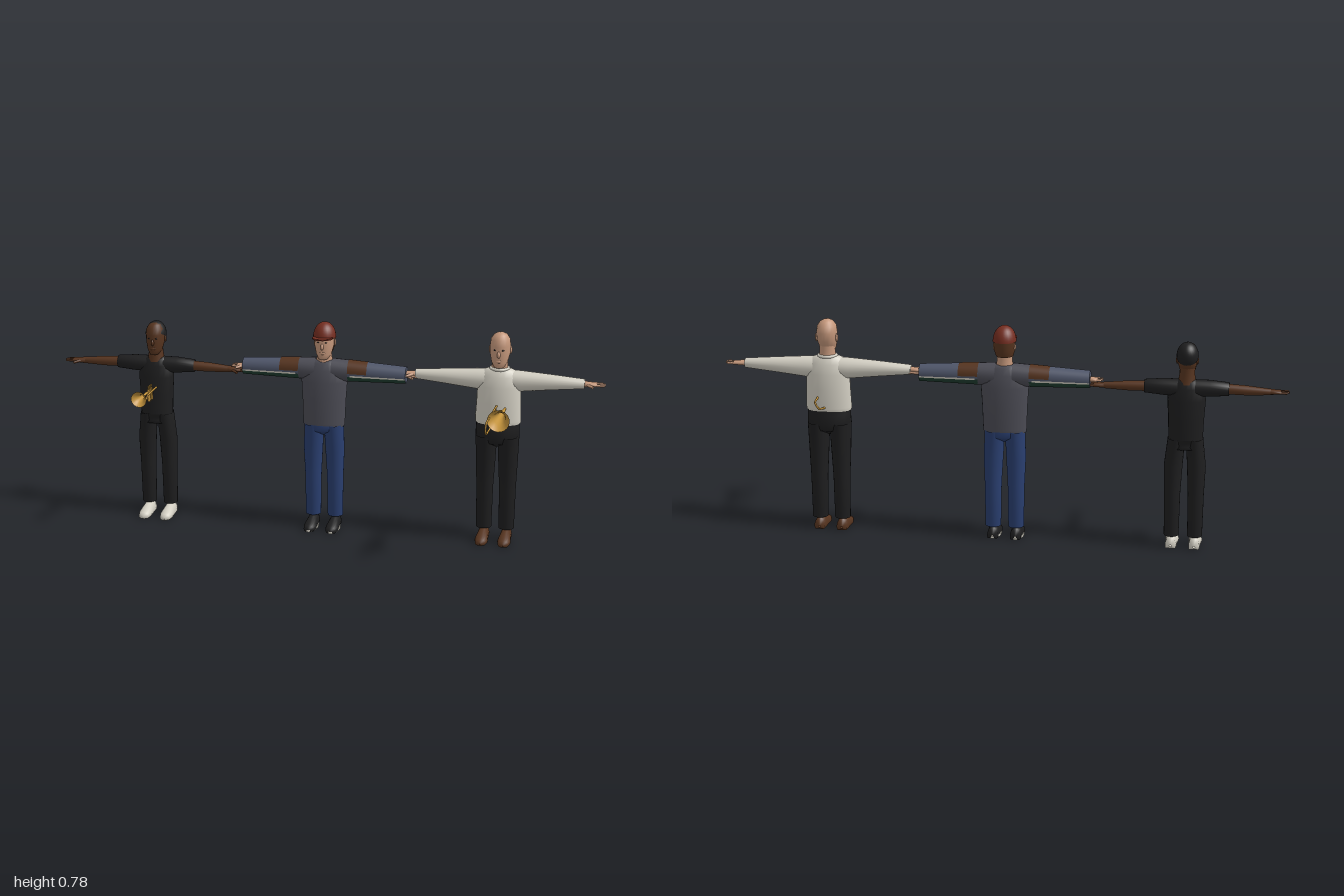
import * as THREE from 'three';

const mat = (name, color) => Object.assign(new THREE.MeshStandardMaterial({ color, side: THREE.DoubleSide }), { name });
const M = {
  black: mat('black cloth', 0x1e1e1f), white: mat('off white', 0xd2cec2), skin: mat('light skin', 0xc4977b),
  brown: mat('brown', 0x56341f), brass: mat('brass', 0xc2923c), denim: mat('blue denim', 0x2a3f70),
  charcoal: mat('charcoal', 0x4c4c55), red: mat('cap red', 0x742d20), green: mat('dark green', 0x1f3d30),
  slate: mat('slate blue', 0x4f566a),
};

// Surface through elliptical rings [t, u, v, ru, rv] along an axis (y: u=x v=z, x: u=z v=y, z: u=y v=x)
function loft(axis, rings, a0 = 0, a1 = Math.PI * 2, n = 20) {
  const sorted = [...rings].sort((a, b) => a[0] - b[0]);
  const closed = a1 - a0 > 6.28, cols = closed ? n : n + 1, pos = [], idx = [];
  sorted.forEach(([t, u, v, ru, rv], j) => {
    for (let i = 0; i < cols; i++) {
      const a = a0 + (a1 - a0) * i / n, p = u + ru * Math.cos(a), q = v + rv * Math.sin(a);
      pos.push(...(axis === 'y' ? [p, t, q] : axis === 'x' ? [t, q, p] : [q, Math.max(p, 0), t]));
    }
    if (j === 0) return;
    for (let i = 0; i < n; i++) {
      const k = (i + 1) % (closed ? n : n + 1), lo = (j - 1) * cols, hi = j * cols;
      idx.push(lo + i, hi + i, lo + k, lo + k, hi + i, hi + k);
    }
  });
  const g = new THREE.BufferGeometry();
  g.setAttribute('position', new THREE.Float32BufferAttribute(pos, 3));
  g.setIndex(idx);
  g.computeVertexNormals();
  return g;
}

function add(parent, name, geo, material, p = [0, 0, 0], s = [1, 1, 1]) {
  const m = new THREE.Mesh(geo, material);
  m.name = name;
  m.position.set(...p);
  m.scale.set(...s);
  parent.add(m);
  return m;
}

const ball = new THREE.SphereGeometry(1, 20, 14);
const pipe = (pts, r = 0.0035) => {
  const path = new THREE.CurvePath(), v = pts.map(p => new THREE.Vector3(...p));
  for (let i = 1; i < v.length; i++) path.add(new THREE.LineCurve3(v[i - 1], v[i]));
  return new THREE.TubeGeometry(path, pts.length * 10, r, 8);
};

// Head with neck, face and ears; y is the neck base, h the scale
function head(g, y, h, skin, eyeColor) {
  const H = new THREE.Group();
  H.name = 'head';
  H.position.set(0, y, -0.127);
  H.scale.setScalar(h);
  g.add(H);
  add(H, 'neck', loft('y', [[-0.02, 0, 0, 0.034, 0.033], [0.02, 0, 0, 0.028, 0.028], [0.06, 0, -0.002, 0.028, 0.028]]), skin);
  add(H, 'skull', loft('y', [
    [0.008, 0, 0.022, 0.004, 0.008], [0.012, 0, 0.02, 0.018, 0.021], [0.03, 0, 0.011, 0.029, 0.033],
    [0.06, 0, 0.002, 0.036, 0.044], [0.09, 0, -0.001, 0.037, 0.046], [0.112, 0, 0, 0.034, 0.042],
    [0.127, 0, 0, 0.024, 0.029], [0.134, 0, 0, 0.011, 0.014], [0.136, 0, 0, 0.001, 0.001]]), skin);
  add(H, 'nose', ball, skin, [0, 0.062, 0.045], [0.006, 0.012, 0.009]);
  add(H, 'lips', ball, skin, [0, 0.037, 0.041], [0.011, 0.006, 0.005]);
  for (const s of [-1, 1]) {
    add(H, 'ear', ball, skin, [s * 0.037, 0.07, -0.008], [0.005, 0.015, 0.008]);
    add(H, 'eye', ball, eyeColor, [s * 0.014, 0.078, 0.041], [0.005, 0.0025, 0.003]);
  }
  return H;
}

// Flat palm, four fingers and a thumb
function hand(g, s, x0, x1, y, skin) {
  const xm = x0 + (x1 - x0) * 0.55, z = -0.128;
  add(g, 'palm', loft('x', [[s * (x0 - 0.012), z, y, 0.012, 0.011], [s * (x0 + 0.01), z, y, 0.016, 0.009],
    [s * xm, z, y, 0.019, 0.007], [s * (xm + 0.003), z, y, 0.002, 0.001]]), skin);
  for (let i = 0; i < 4; i++) {
    const len = (x1 - xm) * [0.9, 1, 0.95, 0.75][i], f = z + 0.014 - i * 0.0092;
    add(g, 'finger', new THREE.CapsuleGeometry(0.0045, len, 3, 6), skin, [s * (xm + len / 2 - 0.004), y, f]).rotation.z = Math.PI / 2;
  }
  add(g, 'thumb', pipe([[s * (x0 + 0.005), y, z + 0.01], [s * (x0 + 0.028), y - 0.004, z + 0.028]], 0.005), skin);
}

function legs(g, o) {
  const w = o.hip, d = o.depth, c = -0.122, m = o.pants;
  add(g, 'trouser seat', loft('y', [[0.355, 0, c, 0.004, 0.01], [0.375, 0, c, w * 0.82, d * 0.9], [0.4, 0, c, w, d + 0.003],
    [o.waist - 0.02, 0, c, w * 0.99, d], [o.waist + 0.003, 0, c, w * 0.98, d * 0.97]]), m);
  for (const s of [-1, 1]) {
    const x = s * 0.041, r = o.leg;
    add(g, 'trouser leg', loft('y', [[0.044, x, -0.128, 0.004, 0.004], [0.045, x, -0.128, r, 0.028], [0.2, x, -0.127, r * 1.08, 0.032],
      [0.3, x * 0.98, -0.124, r * 1.25, d * 0.75], [0.4, s * w * 0.5, c, w * 0.49, d]]), m);
    add(g, 'shoe', loft('z', [[-0.153, 0.01, x, 0.003, 0.004], [-0.15, 0.012, x, 0.03, 0.019], [-0.125, 0.012, x, 0.034, 0.02],
      [-0.1, 0.012, x, 0.029, 0.021], [-0.07, 0.01, x, 0.021, 0.024], [-0.046, 0.008, x, 0.014, 0.019],
      [-0.039, 0.007, x, 0.009, 0.011], [-0.037, 0.006, x, 0.001, 0.001]]), o.shoe);
    if (o.sole) add(g, 'sole', new THREE.CylinderGeometry(1, 1, 0.008, 24), o.sole, [x, 0.004, -0.095], [0.024, 1, 0.059]);
  }
}

// Torso rings scaled from waist to shoulder height
function torso(g, y0, y1, w, chest, d, m) {
  const rows = [[0, w, d * 0.93], [0.06, w * 1.02, d], [0.4, (w + chest) / 2, d], [0.68, chest, d * 0.95],
    [0.86, chest * 0.95, d * 0.8], [0.96, chest * 0.7, d * 0.62], [1, chest * 0.4, d * 0.5], [1.01, 0.002, 0.002]];
  add(g, 'shirt body', loft('y', rows.map(([t, a, b]) => [y0 + (y1 - y0) * t, 0, -0.122 - 0.006 * t, a, b])), m);
}

function figure(root, name, x) {
  const g = new THREE.Group();
  g.name = name;
  g.position.x = x;
  root.add(g);
  return g;
}

function trumpeter(root) {
  const g = figure(root, 'trumpeter', -0.643), z = -0.13;
  legs(g, { hip: 0.062, depth: 0.044, leg: 0.026, waist: 0.385, pants: M.black, shoe: M.white });
  torso(g, 0.378, 0.612, 0.058, 0.066, 0.043, M.black);
  for (const s of [-1, 1]) {
    add(g, 'short sleeve', loft('x', [[s * 0.03, z, 0.58, 0.03, 0.03], [s * 0.08, z, 0.581, 0.029, 0.029],
      [s * 0.145, z, 0.581, 0.024, 0.023], [s * 0.1451, z, 0.581, 0.003, 0.003]]), M.black);
    add(g, 'bare arm', loft('x', [[s * 0.13, z, 0.581, 0.019, 0.018], [s * 0.2, z, 0.579, 0.018, 0.017],
      [s * 0.285, z, 0.577, 0.012, 0.011]]), M.brown);
    hand(g, s, 0.285, 0.35, 0.577, M.brown);
  }
  const H = head(g, 0.613, 0.93, M.brown, M.black);
  add(H, 'short hair', new THREE.SphereGeometry(1, 20, 12, 0, Math.PI * 2, 0, 1.75), M.black, [0, 0.088, -0.006], [0.0405, 0.051, 0.048]).rotation.x = -0.5;
  // Trumpet
  const t = new THREE.Group();
  t.name = 'trumpet';
  g.add(t);
  add(t, 'trumpet bell', loft('z', [[-0.06, 0.503, 0, 0.004, 0.004], [0.03, 0.505, 0, 0.005, 0.005], [0.06, 0.506, 0, 0.009, 0.009],
    [0.08, 0.507, 0, 0.017, 0.017], [0.093, 0.507, 0, 0.029, 0.029]]), M.brass);
  add(t, 'trumpet tubing', pipe([[0, 0.503, -0.06], [0, 0.492, -0.068], [0, 0.481, -0.06], [0, 0.481, 0.02],
    [0.008, 0.49, 0.03], [0.01, 0.503, 0.02], [0.01, 0.503, -0.09]]), M.brass);
  for (const v of [-0.04, -0.026, -0.012]) {
    add(t, 'valve', new THREE.CylinderGeometry(0.006, 0.006, 0.044, 12), M.brass, [0.004, 0.492, v]);
    add(t, 'valve button', new THREE.CylinderGeometry(0.004, 0.002, 0.014, 10), M.brass, [0.004, 0.519, v]);
  }
}

function capWearer(root) {
  const g = figure(root, 'capped musician', -0.01), z = -0.128;
  legs(g, { hip: 0.072, depth: 0.05, leg: 0.028, waist: 0.4, pants: M.denim, shoe: M.black, sole: M.white });
  torso(g, 0.393, 0.637, 0.076, 0.085, 0.054, M.charcoal);
  for (const s of [-1, 1]) {
    const arm = (k, x0, x1) => [x0, (x0 + x1) / 2, x1].map(x => {
      const r = (0.041 - 0.04 * (x - 0.04)) * k;
      return [s * x, z, 0.6 - 0.02 * (x - 0.04), r, r];
    });
    add(g, 'shoulder', loft('x', arm(1, 0.03, 0.095)), M.charcoal);
    add(g, 'sleeve top', loft('x', arm(1, 0.09, 0.3), -0.35, Math.PI + 0.35), M.slate);
    add(g, 'sleeve underside', loft('x', arm(1, 0.09, 0.3), Math.PI + 0.35, Math.PI * 2 - 0.35), M.green);
    add(g, 'sleeve patch', loft('x', arm(1.03, 0.09, 0.16), -0.05, Math.PI + 0.05), M.brown);
    for (const a of [-0.4, Math.PI + 0.22])
      add(g, 'sleeve stripe', loft('x', arm(1.02, 0.1, 0.3), a, a + 0.18, 3), M.white);
    add(g, 'cuff', loft('x', [[s * 0.3, z, 0.595, 0.031, 0.031], [s * 0.301, z, 0.595, 0.01, 0.01]]), M.slate);
    hand(g, s, 0.298, 0.345, 0.595, M.skin);
  }
  const H = head(g, 0.633, 0.96, M.skin, M.black);
  add(H, 'back hair', loft('y', [[0.035, 0, 0, 0.031, 0.037], [0.06, 0, -0.002, 0.039, 0.046], [0.1, 0, -0.003, 0.04, 0.047]], Math.PI - 0.15, Math.PI * 2 + 0.15), M.brown);
  add(H, 'cap crown', new THREE.SphereGeometry(1, 24, 10, 0, Math.PI * 2, 0, Math.PI / 2), M.red, [0, 0.09, -0.002], [0.043, 0.058, 0.05]);
  add(H, 'cap brim', new THREE.CylinderGeometry(1, 1, 0.005, 24), M.red, [0, 0.094, 0.036], [0.038, 1, 0.044]).rotation.x = -0.06;
}

function trombonist(root) {
  const g = figure(root, 'trombonist', 0.623), z = -0.128;
  legs(g, { hip: 0.079, depth: 0.054, leg: 0.028, waist: 0.452, pants: M.black, shoe: M.brown });
  torso(g, 0.446, 0.645, 0.081, 0.078, 0.056, M.white);
  for (const s of [-1, 1]) {
    add(g, 'long sleeve', loft('x', [[s * 0.03, z, 0.601, 0.037, 0.038], [s * 0.08, z, 0.6, 0.036, 0.037], [s * 0.19, z, 0.602, 0.028, 0.027],
      [s * 0.3, z, 0.603, 0.02, 0.017], [s * 0.301, z, 0.603, 0.006, 0.006]]), M.white);
    hand(g, s, 0.303, 0.374, 0.603, M.skin);
  }
  head(g, 0.64, 0.99, M.skin, M.black);
  add(g, 'shirt collar', new THREE.TorusGeometry(0.031, 0.006, 8, 24), M.white, [0, 0.643, z]).rotation.x = Math.PI / 2;
  // Trombone
  const t = new THREE.Group();
  t.name = 'trombone';
  g.add(t);
  add(t, 'trombone bell', loft('z', [[-0.06, 0.513, 0.03, 0.004, 0.004], [0.0, 0.52, 0.031, 0.007, 0.007], [0.06, 0.526, 0.032, 0.012, 0.012],
    [0.11, 0.531, 0.033, 0.021, 0.021], [0.132, 0.532, 0.033, 0.03, 0.03], [0.146, 0.532, 0.033, 0.039, 0.039]]), M.brass);
  add(t, 'tuning loop', pipe([[0.03, 0.513, -0.06], [0.026, 0.494, -0.22], [0.02, 0.482, -0.222], [0.012, 0.468, -0.215],
    [0, 0.462, -0.17], [0, 0.474, -0.06]]), M.brass);
  add(t, 'slide', pipe([[0, 0.474, -0.06], [0, 0.499, 0.19], [0, 0.505, 0.21], [0, 0.515, 0.22], [0, 0.528, 0.221],
    [0, 0.539, 0.213], [0, 0.543, 0.195], [0, 0.52, -0.065]]), M.brass);
  for (const b of [-0.015, -0.035]) {
    add(t, 'slide brace', pipe([[0, 0.477, b], [0, 0.523, b]]), M.brass);
    add(t, 'bell brace', pipe([[0, 0.51, b], [0.03, 0.516, b]], 0.0025), M.brass);
  }
}

export function createModel() {
  const root = new THREE.Group();
  root.name = 'three musicians';
  trumpeter(root);
  capWearer(root);
  trombonist(root);
  return root;
}
